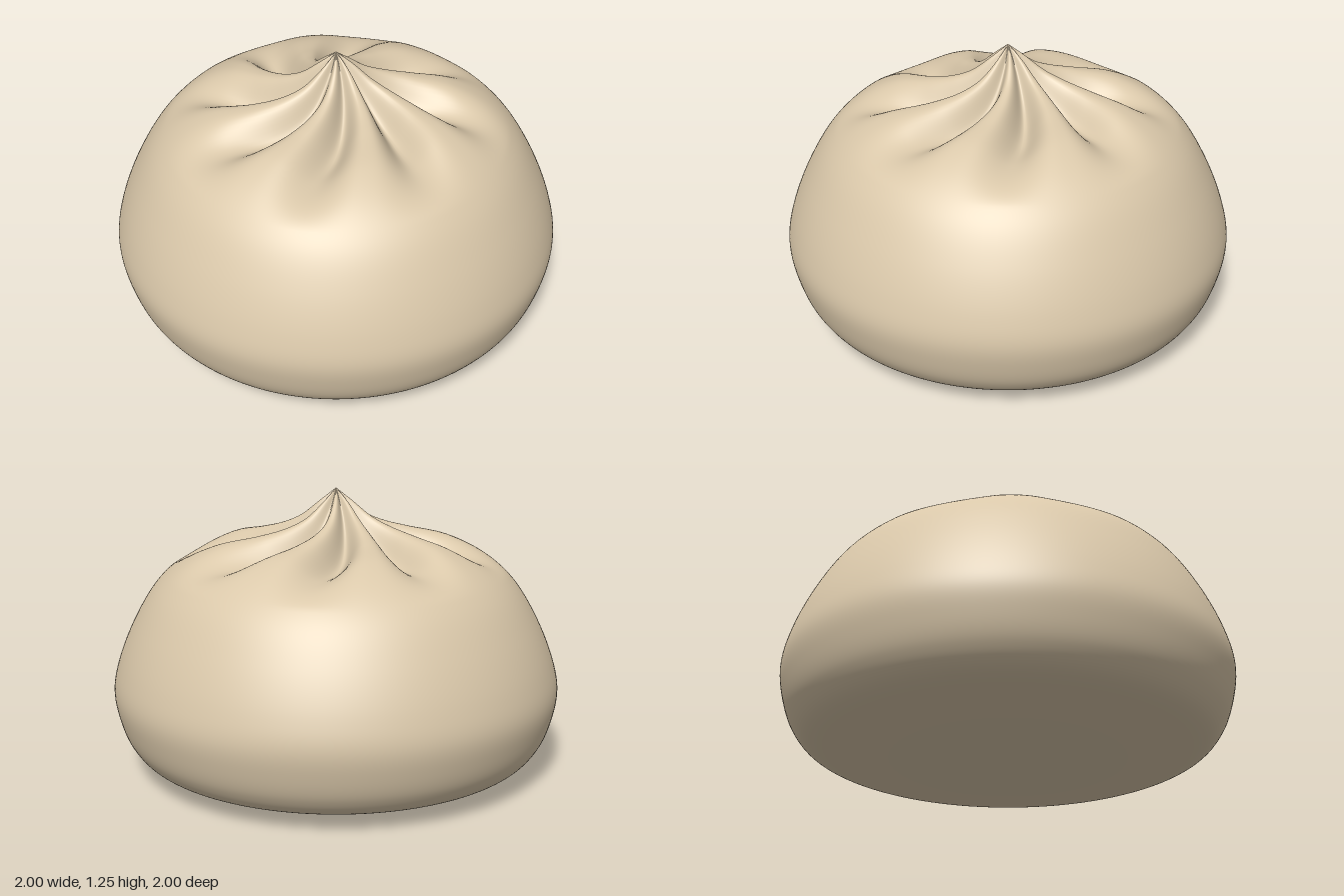
import * as THREE from 'three';
import { mergeVertices } from 'three/addons/utils/BufferGeometryUtils.js';

const FOLDS = 8;        // pleats around the crown
const FOLD_RADIUS = 0.76; // where the pleats fade out

// Half profile (radius, height): rounded base, full belly, pinched tip
const PROFILE = [
  [0, 0], [0.4, 0.015], [0.75, 0.045], [0.88, 0.085], [0.945, 0.16], [0.985, 0.27],
  [1, 0.38], [0.975, 0.5], [0.9, 0.68], [0.8, 0.84], [0.69, 0.94],
  [0.53, 1.02], [0.36, 1.06], [0.25, 1.09], [0.16, 1.13], [0.07, 1.2], [0, 1.255],
];

export function createModel() {
  const group = new THREE.Group();
  group.name = 'steamedBun';

  const curve = new THREE.CatmullRomCurve3(
    PROFILE.map(([r, y]) => new THREE.Vector3(r, y, 0)), false, 'centripetal');
  const points = curve.getPoints(160).map((p) => new THREE.Vector2(Math.max(0, p.x), Math.max(0, p.y)));
  let geometry = new THREE.LatheGeometry(points, 192);

  // Press swirling pleats into the upper surface
  const pos = geometry.attributes.position;
  for (let i = 0; i < pos.count; i++) {
    const x = pos.getX(i), y = pos.getY(i), z = pos.getZ(i);
    const r = Math.hypot(x, z);
    if (y < 0.5 || r > FOLD_RADIUS) continue;
    const angle = Math.atan2(x, z);
    const t = r / FOLD_RADIUS;
    const swirl = 0.65 * (1 - t) ** 2;
    const groove = ((1 + Math.cos(FOLDS * angle)) / 2) ** 1.5;
    const fade = Math.sin(Math.PI * t ** 0.8) ** 1.3;
    pos.setXYZ(i, r * Math.sin(angle + swirl), y - 0.12 * groove * fade, r * Math.cos(angle + swirl));
  }

  // Weld the seam and both poles for continuous smooth shading
  geometry.deleteAttribute('uv');
  geometry.deleteAttribute('normal');
  geometry = mergeVertices(geometry, 1e-5);
  geometry.computeVertexNormals();

  const bun = new THREE.Mesh(geometry, new THREE.MeshStandardMaterial({ color: 0xdac8aa }));
  bun.name = 'pleatedDough';
  group.add(bun);
  return group;
}
